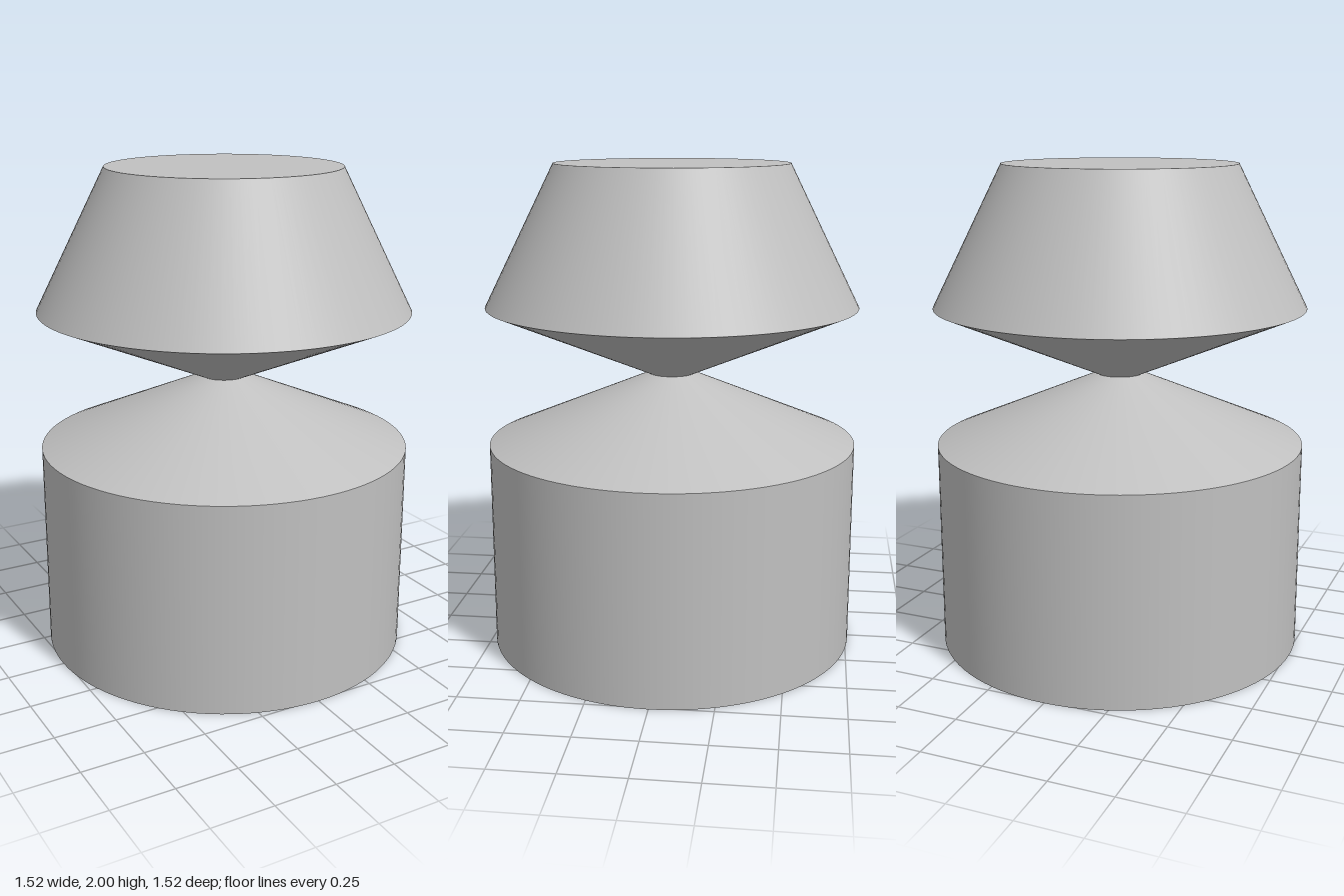
import * as THREE from 'three';

const UNIT = 2 / 21; // the whole part is 21 units tall
const SEGMENTS = 96;

export function createModel() {
  const group = new THREE.Group();
  group.name = 'turnedPin';
  const grey = new THREE.MeshStandardMaterial({ color: 0xc0c0c0 });
  grey.name = 'plainGrey';

  // One closed or open-ended conical section between two heights
  function section(name, y0, y1, r0, r1, cap) {
    const height = (y1 - y0) * UNIT;
    const geometry = new THREE.CylinderGeometry(r1 * UNIT, r0 * UNIT, height, SEGMENTS, 1, true);
    const mesh = new THREE.Mesh(geometry, grey);
    mesh.name = name;
    mesh.position.y = y0 * UNIT + height / 2;
    group.add(mesh);
    if (cap) {
      const disc = new THREE.Mesh(new THREE.CircleGeometry(cap.radius * UNIT, SEGMENTS), grey);
      disc.name = cap.name;
      disc.rotation.x = cap.up ? -Math.PI / 2 : Math.PI / 2;
      disc.position.y = (cap.up ? y1 : y0) * UNIT;
      group.add(disc);
    }
  }

  // Straight body, two cones meeting at the narrow neck, tapered head
  section('body', 0, 9, 8, 8, { name: 'bodyBase', radius: 8, up: false });
  section('shoulder', 9, 12, 8, 1);
  section('headUnderside', 12, 15, 1, 8);
  section('head', 15, 21, 8, 5, { name: 'headTop', radius: 5, up: true });

  return group;
}
